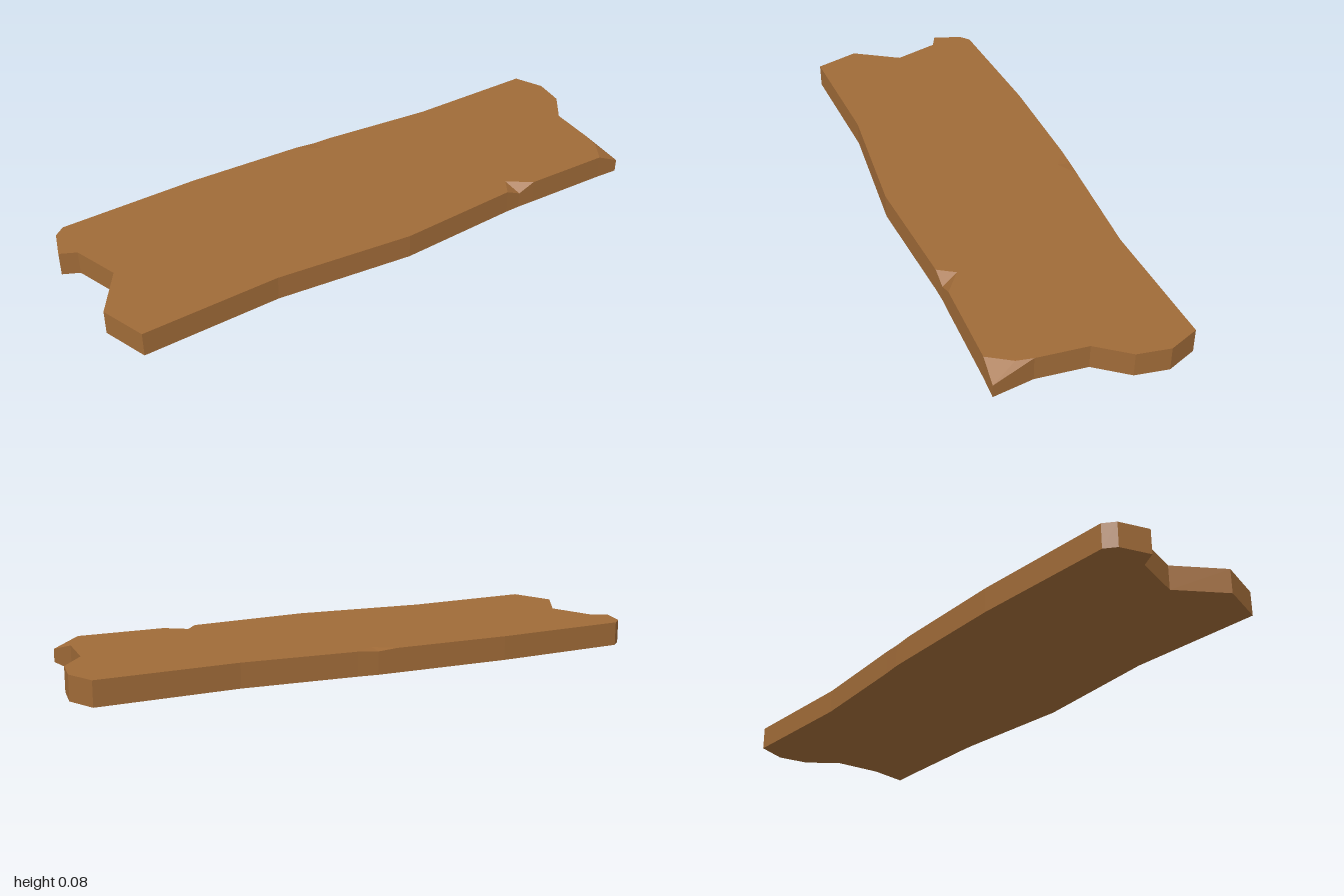
import * as THREE from 'three';

const HEIGHT = 0.082;

// Outline seen from above, counter-clockwise from the front left corner: [x, z].
// A chipped point adds its lowered rim height and the inner tip of the chip.
const outline = [
  [-0.935, 0.315], [-0.47, 0.295], [0, 0.333], [0.425, 0.302],
  [0.48, 0.3, 0.056, [0.46, 0.245]], [0.54, 0.301], [0.84, 0.303],
  [0.922, 0.306, 0.045, [0.888, 0.225]], [0.897, 0.17], [0.908, 0],
  [0.985, -0.105], [1, -0.215], [0.955, -0.315], [0.49, -0.3], [0.1, -0.325],
  [0.03, -0.332, 0.077, [0.03, -0.285]], [-0.04, -0.333], [-0.45, -0.337],
  [-0.935, -0.315], [-0.97, -0.285], [-1, -0.185], [-0.945, -0.16],
  [-0.89, 0], [-0.99, 0.16],
];

function plankGeometry() {
  const positions = [];
  const tri = (...corners) => corners.forEach((c) => positions.push(...c));
  const n = outline.length;
  const bottom = outline.map(([x, z]) => [x, 0, z]);
  const rim = outline.map(([x, z, y = HEIGHT]) => [x, y, z]);
  const top = outline.map(([x, z, , tip]) => (tip ? [tip[0], HEIGHT, tip[1]] : [x, HEIGHT, z]));

  // Flat faces, triangulated from above
  const triangulate = (points) =>
    THREE.ShapeUtils.triangulateShape(points.map(([x, , z]) => new THREE.Vector2(x, -z)), []);
  triangulate(top).forEach(([a, b, c]) => tri(top[a], top[b], top[c]));
  triangulate(bottom).forEach(([a, b, c]) => tri(bottom[c], bottom[b], bottom[a]));

  for (let i = 0; i < n; i++) {
    const next = (i + 1) % n;
    const prev = (i + n - 1) % n;
    // Side wall
    tri(bottom[i], bottom[next], rim[next]);
    tri(bottom[i], rim[next], rim[i]);
    // Two facets of a chip
    if (outline[i][3]) {
      tri(rim[prev], rim[i], top[i]);
      tri(rim[i], rim[next], top[i]);
    }
  }

  const geometry = new THREE.BufferGeometry();
  geometry.setAttribute('position', new THREE.Float32BufferAttribute(positions, 3));
  geometry.computeVertexNormals();
  return geometry;
}

export function createModel() {
  const group = new THREE.Group();
  group.name = 'brokenPlank';
  const wood = new THREE.MeshStandardMaterial({ color: 0xa06b38 });
  wood.name = 'wood brown';
  wood.flatShading = true;
  const plank = new THREE.Mesh(plankGeometry(), wood);
  plank.name = 'plank';
  group.add(plank);
  return group;
}
